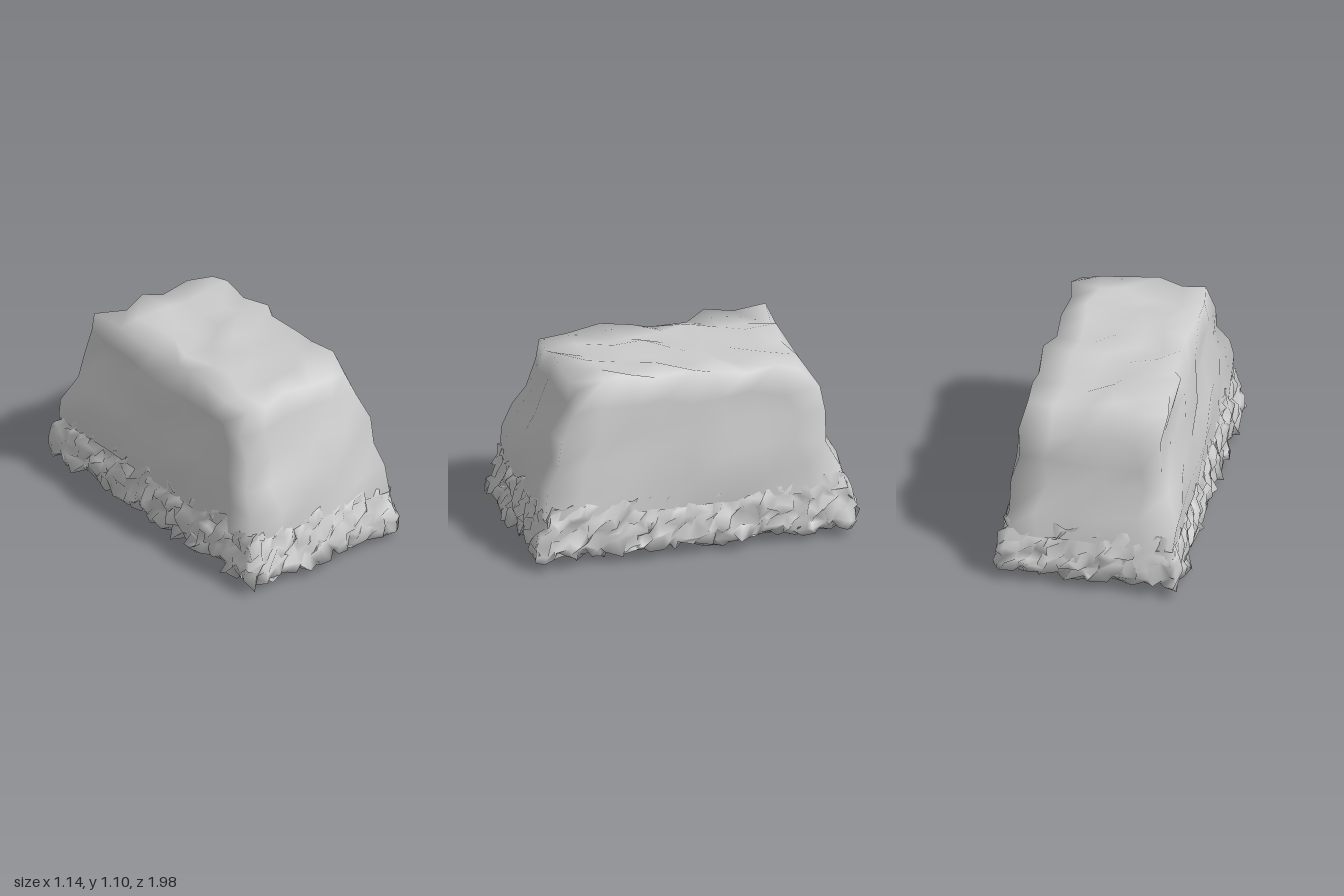
import * as THREE from 'three';
import { mergeVertices } from 'three/addons/utils/BufferGeometryUtils.js';

const TOP_FACE = 2, BOTTOM_FACE = 3;

// Small seeded generator returning -1..1
function seeded(seed) {
  let s = seed;
  return () => {
    s = (s + 0x6d2b79f5) | 0;
    let t = Math.imul(s ^ (s >>> 15), 1 | s);
    t = (t + Math.imul(t ^ (t >>> 7), 61 | t)) ^ t;
    return ((t ^ (t >>> 14)) >>> 0) / 2147483648 - 1;
  };
}

// Linear interpolation in rows of [y, value, value, ...]
function sample(rows, y) {
  let i = 0;
  while (i < rows.length - 2 && y > rows[i + 1][0]) i++;
  const a = rows[i], b = rows[i + 1];
  const t = THREE.MathUtils.clamp((y - a[0]) / (b[0] - a[0]), 0, 1);
  return a.slice(1).map((v, k) => THREE.MathUtils.lerp(v, b[k + 1], t));
}

// Welded, smooth-shaded box, open on one face, whose walls follow a profile, with
// jittered points; sag lowers the middle of the underside below its rim
function roughShell(name, rows, segments, openFace, sag, seed) {
  const y0 = rows[0][0], y1 = rows[rows.length - 1][0];
  let geometry = new THREE.BoxGeometry(2, 1, 2, ...segments);
  const { start, count } = geometry.groups[openFace];
  const index = Array.from(geometry.index.array);
  index.splice(start, count);
  geometry.setIndex(index);
  geometry.clearGroups();
  geometry.deleteAttribute('normal');
  geometry.deleteAttribute('uv');
  geometry = mergeVertices(geometry, 1e-4);
  const random = seeded(seed);
  const p = geometry.attributes.position;
  for (let i = 0; i < p.count; i++) {
    const u = p.getX(i), v = p.getY(i) + 0.5, w = p.getZ(i);
    const y = THREE.MathUtils.lerp(y0, y1, v);
    const [left, right, front, back, jitter] = sample(rows, y);
    const drop = v < 0.001 ? sag * (1 - Math.max(Math.abs(u), Math.abs(w)) ** 8) : 0;
    p.setXYZ(i,
      THREE.MathUtils.lerp(right, left, (u + 1) / 2) + random() * jitter,
      y - drop + random() * jitter,
      THREE.MathUtils.lerp(back, front, (w + 1) / 2) + random() * jitter);
  }
  geometry.computeVertexNormals();
  const mesh = new THREE.Mesh(geometry,
    new THREE.MeshStandardMaterial({ color: 0xcccccc, side: THREE.DoubleSide }));
  mesh.name = name;
  return mesh;
}

export function createModel() {
  const group = new THREE.Group();
  group.name = 'roughBlock';

  // Smooth tapered body: y, left x, right x, front z, back z, jitter
  group.add(roughShell('taperedBody', [
    [0.32, 0.497, -0.505, 0.902, -0.912, 0.008],
    [0.47, 0.49, -0.495, 0.875, -0.875, 0.025],
    [0.64, 0.465, -0.47, 0.825, -0.79, 0.03],
    [0.79, 0.437, -0.437, 0.775, -0.80, 0.03],
    [0.94, 0.408, -0.415, 0.725, -0.725, 0.03],
    [1.09, 0.38, -0.40, 0.66, -0.65, 0.038],
  ], [5, 5, 8], BOTTOM_FACE, 0, 23));

  // Crumbly base whose upper rim sinks into the body
  group.add(roughShell('crumblyBase', [
    [0.105, 0.53, -0.54, 0.955, -0.955, 0.04],
    [0.15, 0.53, -0.54, 0.952, -0.955, 0.032],
    [0.27, 0.511, -0.521, 0.922, -0.935, 0.03],
    [0.36, 0.494, -0.502, 0.892, -0.902, 0.028],
    [0.40, 0.478, -0.485, 0.868, -0.882, 0.02],
  ], [24, 7, 44], TOP_FACE, 0.04, 5));
  return group;
}
